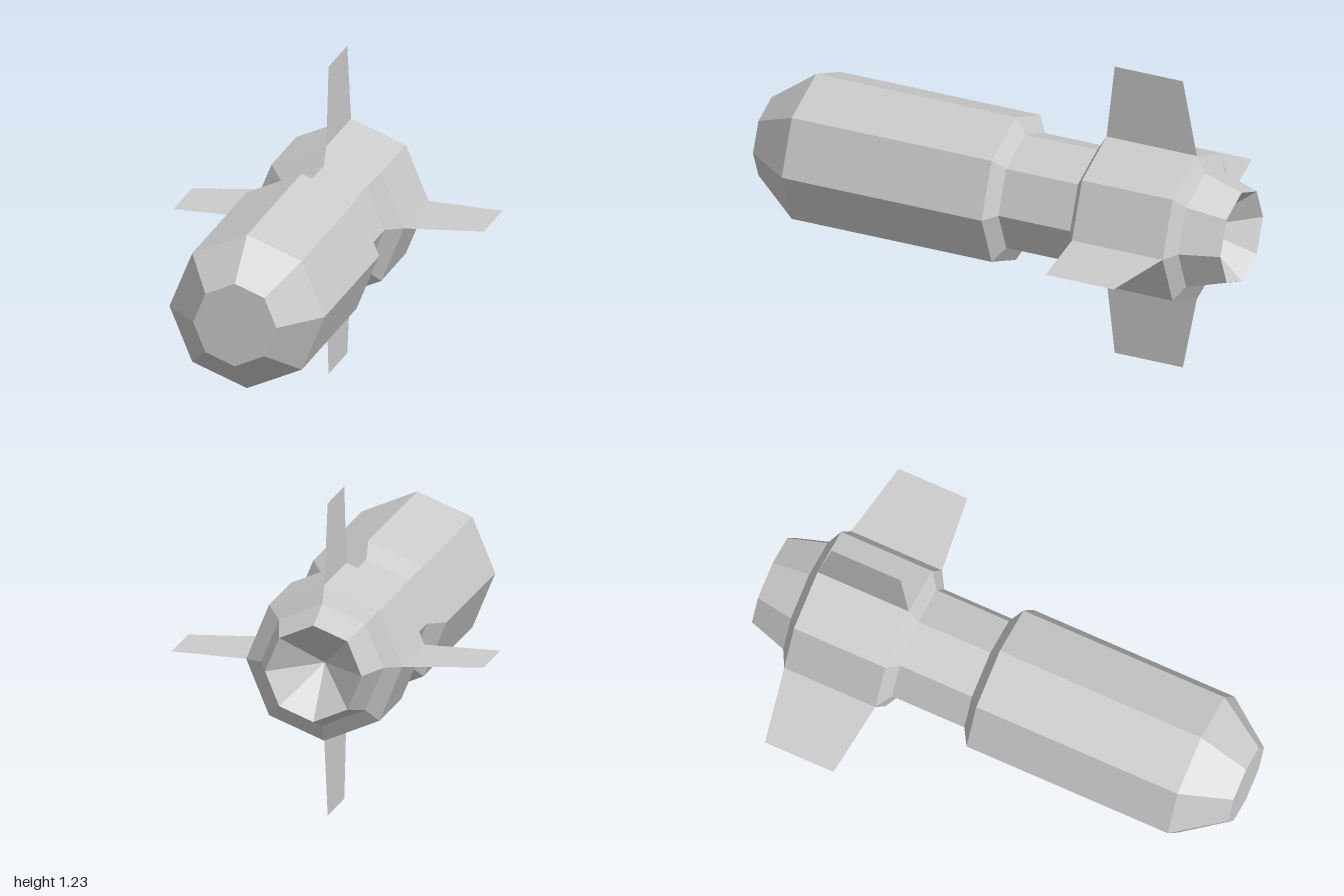
import * as THREE from 'three';

const AXIS_Y = 0.615; // height of the body's long axis

export function createModel() {
  const model = new THREE.Group();
  model.name = 'finnedMissile';
  const bodyMat = new THREE.MeshStandardMaterial({ color: 0xcccccc, flatShading: true });
  const finMat = new THREE.MeshStandardMaterial({ color: 0xcccccc, flatShading: true, side: THREE.DoubleSide });

  // Eight-sided section turned about the z axis; points are [radius, z], back to front
  function section(name, points) {
    const geo = new THREE.LatheGeometry(points.map(([r, z]) => new THREE.Vector2(r, z)), 8);
    geo.rotateX(Math.PI / 2);
    const mesh = new THREE.Mesh(geo, bodyMat);
    mesh.name = name;
    mesh.position.y = AXIS_Y;
    model.add(mesh);
  }

  // Tail nozzle with a hollow, cone-shaped recess
  section('nozzle', [[0, -0.8], [0.19, -1], [0.24, -0.845]]);
  // Rear section that carries the fins, chamfered at both ends
  section('rearSection', [[0.24, -0.845], [0.307, -0.81], [0.307, -0.425], [0.24, -0.385]]);
  // Narrow neck
  section('neck', [[0.24, -0.385], [0.24, -0.08]]);
  // Long front body with a blunt, tapered nose
  section('frontBody', [[0.24, -0.08], [0.307, -0.04], [0.307, 0.81]]);
  section('nose', [[0.307, 0.81], [0.165, 1], [0, 1]]);

  // Four thin tapered fins; the outline is drawn as (z, radius)
  const outline = [[-0.425, 0.305], [-0.46, 0.615], [-0.75, 0.615], [-0.81, 0.305]];
  const finGeo = new THREE.ShapeGeometry(new THREE.Shape(outline.map(([z, r]) => new THREE.Vector2(z, r))));
  finGeo.rotateY(-Math.PI / 2); // shape x becomes z
  ['topFin', 'rightFin', 'bottomFin', 'leftFin'].forEach((name, i) => {
    const fin = new THREE.Mesh(finGeo, finMat);
    fin.name = name;
    fin.position.y = AXIS_Y;
    fin.rotation.z = (i * Math.PI) / 2;
    model.add(fin);
  });

  return model;
}
